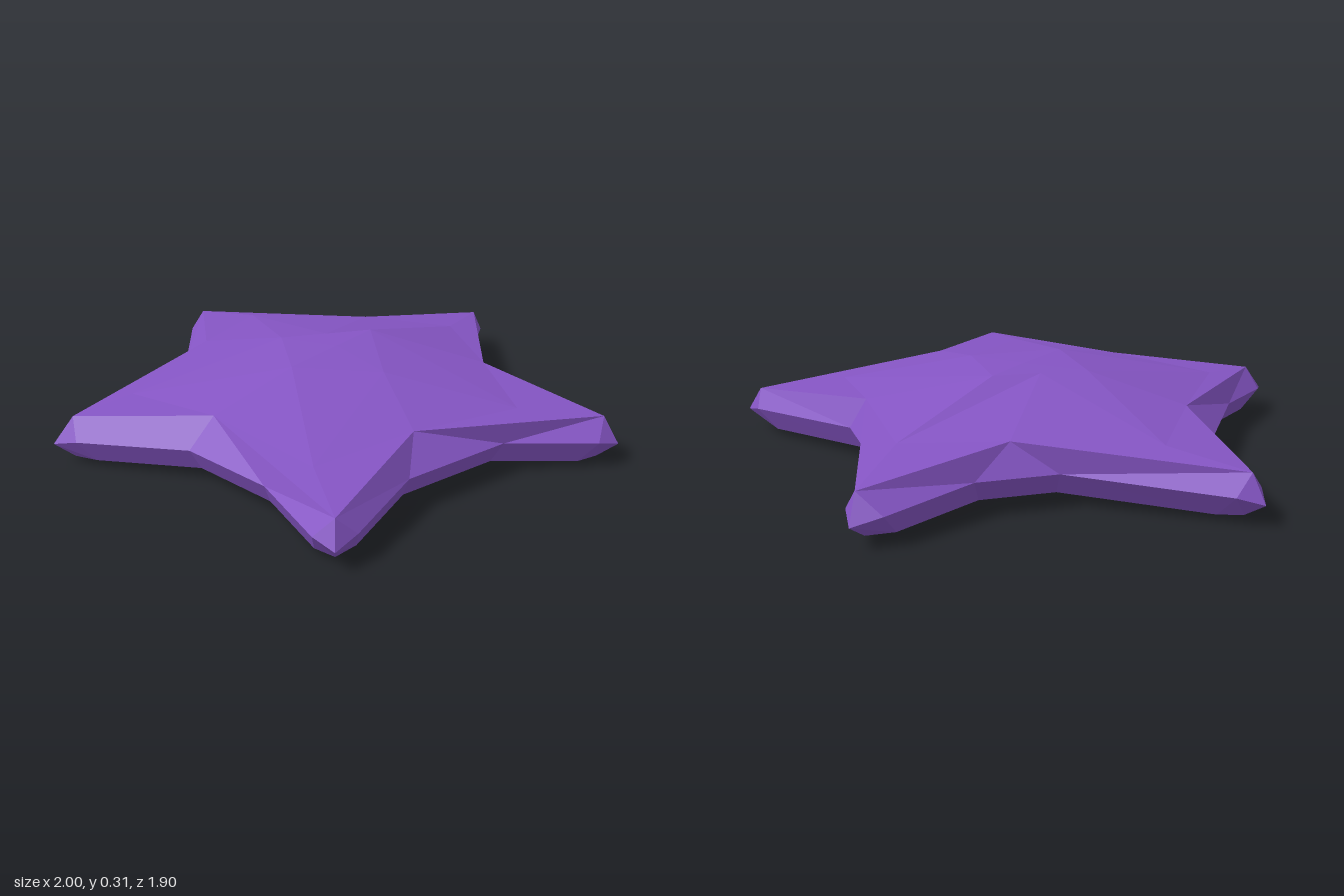
import * as THREE from 'three';

// Each arm, counter-clockwise from the front one:
// rim: tip side, tip, tip side, first and second valley point [x, z]
// top: top of the tip, ridge: crest of the arm, valley: top edge beside the
// arm, dome: edge of the raised middle [x, y, z]
const ARMS = [
  { rim: [[-0.07, 0.9], [0, 0.95], [0.07, 0.88], [0.24, 0.57], [0.58, 0.31]],
    top: [0, 0.165, 0.9], ridge: [-0.07, 0.2, 0.64], valley: [0.26, 0.22, 0.42], dome: [0.17, 0.29, 0.08] },
  { rim: [[0.92, 0.27], [1, 0.22], [0.96, 0.13], [0.62, -0.19], [0.55, -0.51]],
    top: [0.95, 0.165, 0.18], ridge: [0.64, 0.195, 0.18], valley: [0.56, 0.22, -0.18], dome: [0.13, 0.315, -0.28] },
  { rim: [[0.63, -0.86], [0.62, -0.95], [0.52, -0.94], [0.24, -0.76], [-0.03, -0.725]],
    top: [0.6, 0.165, -0.89], ridge: [0.47, 0.205, -0.61], valley: [0.12, 0.22, -0.68], dome: [-0.04, 0.31, -0.25] },
  { rim: [[-0.53, -0.94], [-0.62, -0.95], [-0.635, -0.86], [-0.61, -0.44], [-0.77, -0.1]],
    top: [-0.59, 0.165, -0.9], ridge: [-0.36, 0.205, -0.74], valley: [-0.52, 0.22, -0.4], dome: [-0.21, 0.305, -0.22] },
  { rim: [[-0.96, 0.13], [-1, 0.23], [-0.91, 0.27], [-0.5, 0.37], [-0.23, 0.62]],
    top: [-0.93, 0.17, 0.2], ridge: [-0.74, 0.195, 0.06], valley: [-0.42, 0.22, 0.3], dome: [-0.16, 0.305, 0.07] },
];
const RIM_Y = [0.1, 0.075, 0.1, 0.12, 0.12];
const BASE_Y = [0.022, 0.02, 0.022, 0.04, 0.04];

function facetedMesh(name, triangles, material) {
  const geometry = new THREE.BufferGeometry();
  geometry.setAttribute('position', new THREE.Float32BufferAttribute(triangles.flat(2), 3));
  geometry.computeVertexNormals();
  const mesh = new THREE.Mesh(geometry, material);
  mesh.name = name;
  return mesh;
}

export function createModel() {
  const group = new THREE.Group();
  group.name = 'starfish';
  const purple = new THREE.MeshStandardMaterial({ color: 0x8555c4, flatShading: true });
  purple.name = 'purple';

  const rims = ARMS.map((a) => a.rim.map(([x, z], k) => [x, RIM_Y[k], z]));
  const upper = [];
  const under = [];

  // Upper skin: tip, flanks, arm crest and domed middle
  ARMS.forEach((arm, i) => {
    const next = (i + 1) % 5;
    const prev = ARMS[(i + 4) % 5];
    const o = rims[i];
    const { top, ridge, valley, dome } = arm;
    upper.push(
      [top, o[0], o[1]], [top, o[1], o[2]], [top, o[2], o[3]],
      [top, o[3], valley], [valley, o[3], o[4]],
      [valley, o[4], ARMS[next].top], [ARMS[next].top, o[4], rims[next][0]],
      [ridge, top, valley], [ridge, prev.valley, top],
      [ridge, valley, dome], [ridge, dome, prev.dome], [ridge, prev.dome, prev.valley],
      [[0, 0.312, -0.12], prev.dome, dome],
    );
  });

  // Underside: walls tucked in below the rim, then a shallow flat belly
  const rim = rims.flat();
  const base = rim.map(([x, , z], k) => [x * 0.93, BASE_Y[k % 5], z * 0.93]);
  rim.forEach((p, k) => {
    const n = (k + 1) % rim.length;
    under.push([p, base[k], base[n]], [p, base[n], rim[n]], [[0, 0, 0], base[n], base[k]]);
  });

  group.add(facetedMesh('upperBody', upper, purple), facetedMesh('underside', under, purple));
  return group;
}
